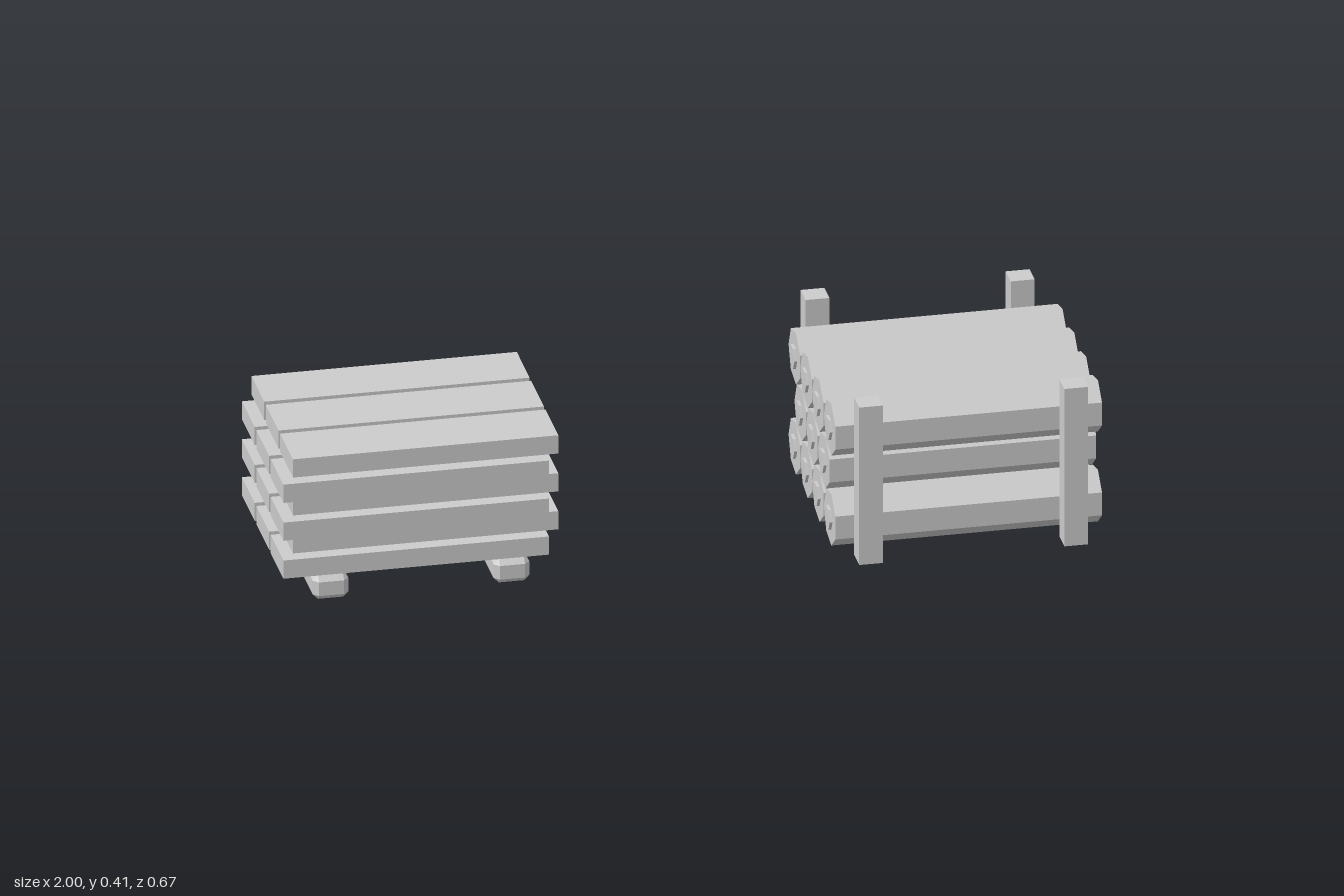
import * as THREE from 'three';
import { ConvexGeometry } from 'three/addons/geometries/ConvexGeometry.js';

const wood = new THREE.MeshStandardMaterial({ color: 0xcccccc, flatShading: true });
wood.name = 'grey wood';

function add(parent, name, geometry, x, y, z) {
  const mesh = new THREE.Mesh(geometry, wood);
  mesh.name = name;
  mesh.position.set(x, y, z);
  parent.add(mesh);
  return mesh;
}

// Box with every edge and corner chamfered by c
function chamferedBox(w, h, d, c) {
  const points = [];
  for (const sx of [-1, 1]) for (const sy of [-1, 1]) for (const sz of [-1, 1]) {
    for (let axis = 0; axis < 3; axis++) {
      const half = [w / 2 - c, h / 2 - c, d / 2 - c];
      half[axis] += c;
      points.push(new THREE.Vector3(sx * half[0], sy * half[1], sz * half[2]));
    }
  }
  return new ConvexGeometry(points);
}

// Prism lying along x, with a corner pointing to -z
function prismAlongX(radius, length, sides) {
  return new THREE.CylinderGeometry(radius, radius, length, sides).rotateY(Math.PI).rotateZ(-Math.PI / 2);
}

function createPlankStack() {
  const stack = new THREE.Group();
  stack.name = 'plankStack';

  // Two bearers under the planks
  const bearer = chamferedBox(0.087, 0.062, 0.53, 0.013);
  for (const x of [-0.885, -0.444]) add(stack, 'bearer', bearer, x, 0.031, 0);

  // Six layers of three planks, shifted alternately
  const plank = new THREE.BoxGeometry(0.647, 0.048, 0.147);
  for (let layer = 0; layer < 6; layer++) {
    const odd = layer % 2 === 1;
    for (let i = -1; i <= 1; i++) {
      add(stack, 'plank', plank, odd ? -0.647 : -0.6765, 0.086 + layer * 0.05,
        i * 0.1645 + (odd ? -0.0145 : 0.0155));
    }
  }
  return stack;
}

function createLogRack() {
  const rack = new THREE.Group();
  rack.name = 'logRack';

  // Seven-sided logs with a raised core at each end
  const log = prismAlongX(0.0695, 0.65, 7);
  const core = prismAlongX(0.03, 0.664, 6);
  const rows = [{ y: 0.069, n: 4 }, { y: 0.188, n: 3 }, { y: 0.306, n: 4 }];
  for (const { y, n } of rows) {
    for (let i = 0; i < n; i++) {
      const z = (i - (n - 1) / 2) * 0.135;
      add(rack, 'log', log, 0.668, y, z);
      add(rack, 'logCore', core, 0.668, y, z);
    }
  }

  // Four corner posts
  const post = new THREE.BoxGeometry(0.058, 0.415, 0.058);
  for (const x of [0.415, 0.915]) for (const z of [-0.307, 0.307]) {
    add(rack, 'post', post, x, 0.2075, z);
  }
  return rack;
}

export function createModel() {
  const model = new THREE.Group();
  model.name = 'woodPiles';
  model.add(createPlankStack(), createLogRack());
  return model;
}
